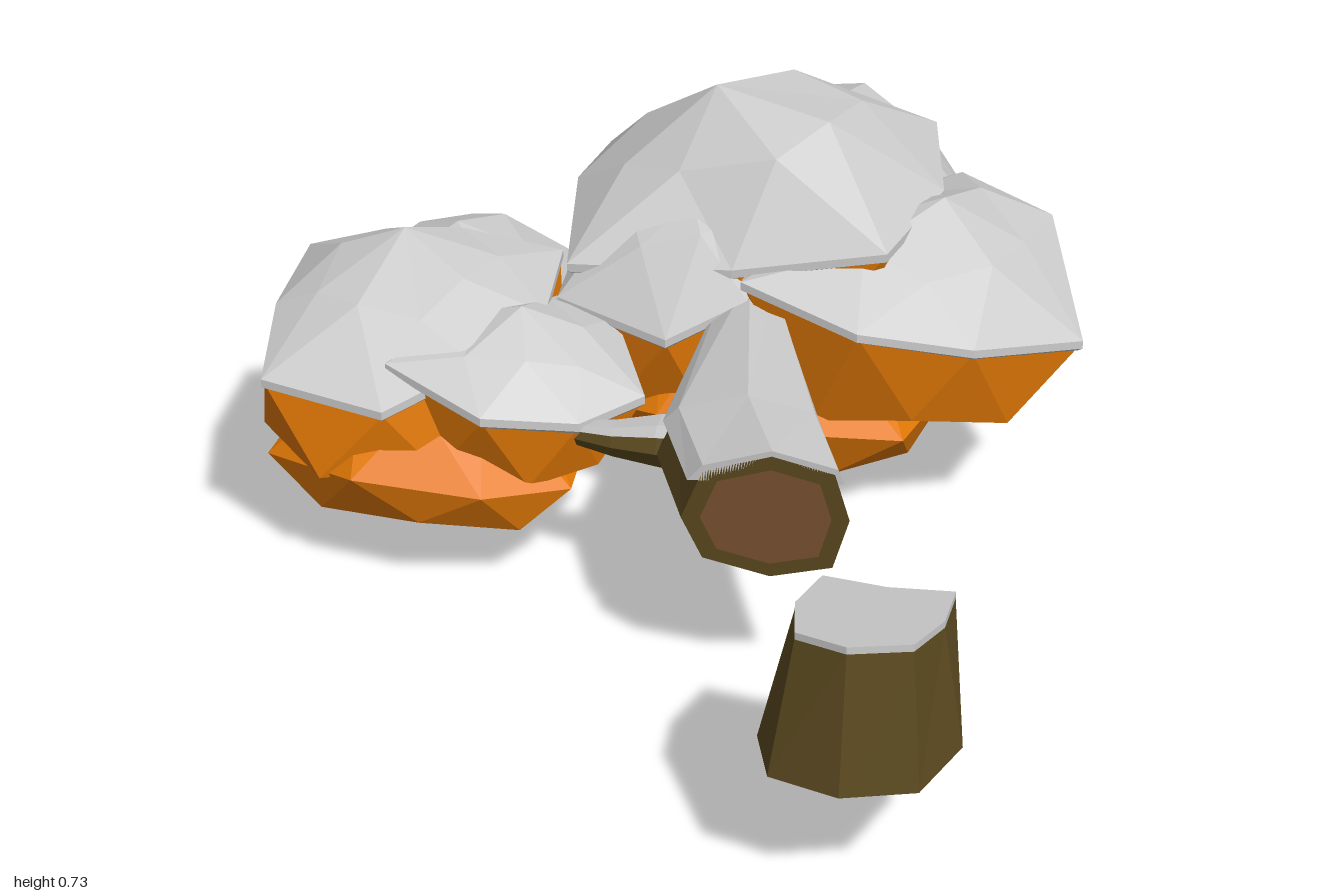
import * as THREE from 'three';

const mat = (color) => new THREE.MeshStandardMaterial({ color, flatShading: true, side: THREE.DoubleSide });
const snow = mat(0xcccccc), leaf = mat(0xe47a06), bark = mat(0x5c4a20), wood = mat(0x7a5230);

// Skin a list of loops; a loop of one point closes an end as a fan.
function loft(name, rings, material) {
  const pos = [];
  for (let k = 0; k + 1 < rings.length; k++) {
    const a = rings[k], b = rings[k + 1];
    const n = Math.max(a.length, b.length);
    for (let i = 0; i < n; i++) {
      const a0 = a[i % a.length], a1 = a[(i + 1) % a.length];
      const b0 = b[i % b.length], b1 = b[(i + 1) % b.length];
      if (a.length > 1) pos.push(...a0, ...b0, ...a1);
      if (b.length > 1) pos.push(...b0, ...b1, ...a1);
    }
  }
  const g = new THREE.BufferGeometry();
  g.setAttribute('position', new THREE.Float32BufferAttribute(pos, 3));
  g.computeVertexNormals();
  const mesh = new THREE.Mesh(g, material);
  mesh.name = name;
  return mesh;
}

const centre = (ring) => [0, 1, 2].map((c) => ring.reduce((s, p) => s + p[c], 0) / ring.length);

// Point between p and q, drawn towards an end point: r scales x and z, h is the rise to the end
const facetPoint = (p, q, end, r, h) =>
  [r, 1 - h, r].map((w, k) => end[k] + ((p[k] + q[k]) / 2 - end[k]) * w);

// Faceted clump: rim points [x, z, y], an apex and a low point; snow lies above the rim.
// taper: width of the underside, drop: its depth, bulge: height of the snow's shoulder,
// lean: extra bulge towards +x
function clump(name, rimXZY, top, bottom, { taper = 0.86, drop = 0.67, bulge = 0.62, lean = 0, capped = true } = {}) {
  const group = new THREE.Group();
  group.name = name;
  const c = centre(rimXZY);
  const rim = rimXZY
    .map(([x, z, y]) => [x, y, z])
    .sort((p, q) => Math.atan2(p[2] - c[1], p[0] - c[0]) - Math.atan2(q[2] - c[1], q[0] - c[0]));
  const n = rim.length, mid = centre(rim);
  const scaled = (s, dy) => rim.map((p) => [mid[0] + (p[0] - mid[0]) * s, p[1] + dy, mid[2] + (p[2] - mid[2]) * s]);
  // The lower and shoulder loops sit half a step off the rim, which makes triangular facets
  const lower = rim.map((p, i) => facetPoint(p, rim[(i + n - 1) % n], bottom, taper, drop + (i % 2 ? -0.05 : 0.05)));
  const shoulder = rim.map((p, i) => {
    const q = rim[(i + 1) % n];
    const h = bulge + (i % 2 ? 0.08 : -0.06) + lean * Math.sign((p[0] + q[0]) / 2 - mid[0]);
    return facetPoint(p, q, top, i % 2 ? 0.56 : 0.64, h);
  });
  if (capped) {
    group.add(loft('foliage', [[bottom], lower, scaled(0.98, -0.01), [mid]], leaf));
    group.add(loft('snowCap', [scaled(0.97, -0.02), scaled(1, -0.015), rim, shoulder, [top]], snow));
  } else {
    group.add(loft('foliage', [[bottom], lower, rim, shoulder, [top]], leaf));
  }
  return group;
}

function largeCrown() {
  const g = new THREE.Group();
  g.name = 'largeCrown';
  g.add(
    clump('backClump', [[0, -0.99, 0.37], [0.15, -1, 0.36], [0.32, -0.96, 0.36], [0.51, -0.67, 0.27],
      [0.46, -0.56, 0.3], [0.15, -0.4, 0.35], [-0.21, -0.63, 0.32]], [0.16, 0.59, -0.58], [0.16, 0.07, -0.68],
      { taper: 0.96, bulge: 0.7 }),
    clump('topClump', [[-0.24, -0.59, 0.47], [0.05, -0.6, 0.53], [0.37, -0.59, 0.57], [0.42, -0.35, 0.55],
      [0.36, -0.1, 0.54], [0.1, -0.06, 0.5], [-0.19, -0.06, 0.48], [-0.23, -0.3, 0.53]],
      [0.02, 0.73, -0.31], [0.08, 0.18, -0.32], { lean: 0.14 }),
    clump('sideClump', [[0.69, -0.22, 0.35], [0.6, -0.48, 0.46], [0.42, -0.6, 0.47], [0.12, -0.35, 0.45],
      [0.12, -0.04, 0.49], [0.33, 0.01, 0.44], [0.52, -0.07, 0.39]], [0.43, 0.57, -0.28], [0.38, 0.14, -0.26],
      { bulge: 0.5 }),
    clump('frontClump', [[-0.2, -0.03, 0.43], [0, 0.01, 0.39], [0.13, -0.05, 0.45], [0.15, -0.25, 0.5],
      [0, -0.4, 0.5], [-0.21, -0.35, 0.47]], [0.01, 0.58, -0.16], [0, 0.15, -0.2], { bulge: 0.74 }),
    clump('lowClump', [[-0.2, -0.1, 0.2], [-0.02, -0.01, 0.23], [0.2, 0.01, 0.23], [0.4, -0.1, 0.18],
      [0.46, -0.35, 0.18], [0.34, -0.57, 0.17], [0.05, -0.6, 0.18], [-0.2, -0.4, 0.19]],
      [0.1, 0.5, -0.3], [0.15, 0, -0.31], { taper: 0.86, drop: 0.52, capped: false }),
  );
  return g;
}

function smallCrown() {
  const g = new THREE.Group();
  g.name = 'smallCrown';
  g.add(
    clump('backClump', [[-0.66, -0.18, 0.33], [-0.51, -0.43, 0.33], [-0.4, -0.44, 0.33], [-0.27, -0.4, 0.33],
      [-0.22, -0.15, 0.3], [-0.45, -0.05, 0.35]], [-0.42, 0.48, -0.18], [-0.42, 0.12, -0.23], { taper: 0.97 }),
    clump('topClump', [[-0.68, -0.13, 0.43], [-0.45, -0.19, 0.45], [-0.22, -0.15, 0.46], [-0.2, 0.05, 0.44],
      [-0.28, 0.2, 0.41], [-0.42, 0.29, 0.35], [-0.64, 0.26, 0.37], [-0.665, 0.1, 0.43]],
      [-0.46, 0.55, 0], [-0.45, 0.15, 0.05], { taper: 1.07, bulge: 0.52 }),
    clump('sideClump', [[-0.43, 0.23, 0.41], [-0.25, 0.29, 0.36], [-0.1, 0.22, 0.33], [-0.01, 0.12, 0.34],
      [-0.1, -0.05, 0.39], [-0.3, -0.1, 0.42]], [-0.23, 0.47, 0.09], [-0.25, 0.15, 0.1], { bulge: 0.5 }),
    clump('lowClump', [[-0.66, 0.2, 0.19], [-0.47, 0.32, 0.23], [-0.25, 0.3, 0.21], [-0.12, 0.2, 0.19],
      [-0.14, -0.05, 0.19], [-0.45, -0.12, 0.18], [-0.66, 0, 0.18]], [-0.4, 0.42, 0.05], [-0.4, 0.05, 0.06],
      { taper: 0.92, drop: 0.5, capped: false }),
  );
  return g;
}

// Fallen log with a rimmed cut end and a thin snow cover
function trunk() {
  const g = new THREE.Group();
  g.name = 'fallenTrunk';
  const section = [[0.135, 0.01], [0.11, -0.08], [0.01, -0.11], [-0.1, -0.09],
    [-0.135, -0.02], [-0.1, 0.07], [0.01, 0.11], [0.11, 0.09]];
  const cover = [[0.125, 0.075], [-0.125, 0.05], [-0.1, 0.08], [0.01, 0.12], [0.115, 0.1]];
  // x centre, z, width and height scale
  const stations = [[0.11, -0.15, 0.42, 0.8], [0.19, 0.29, 1.04, 0.93], [0.265, 0.47, 1, 1]];
  const along = (shape) => stations.map(([x, z, w, h]) => shape.map(([u, v]) => [x + u * w, 0.35 + v * h, z]));
  const rings = along(section), coverRings = along(cover);
  const hub = centre(rings[2]);
  const inner = rings[2].map(([x, y, z]) => [hub[0] + (x - hub[0]) * 0.78, hub[1] + (y - hub[1]) * 0.78, z]);
  g.add(loft('bark', [...rings, inner], bark));
  g.add(loft('cutEnd', [inner, [hub]], wood));
  g.add(loft('snowCover', [...coverRings, [centre(coverRings[2])]], snow));
  return g;
}

// Tapering side branch reaching towards -x
function branch() {
  const g = new THREE.Group();
  g.name = 'branch';
  const path = [[0.12, 0.32, 0.23, 0.048], [0.04, 0.315, 0.225, 0.04], [-0.04, 0.305, 0.215, 0.028], [-0.13, 0.295, 0.19, 0.016]];
  const tube = (dy, flat) => path.map(([x, y, z, r]) => Array.from({ length: 6 }, (_, i) => {
    const a = (i / 6) * Math.PI * 2;
    return [x, y + dy * r - Math.sin(a) * r * flat, z + Math.cos(a) * r];
  }));
  const wrap = (rings) => [...rings, [centre(rings[3])]];
  g.add(loft('branchBark', wrap(tube(0, 1)), bark));
  g.add(loft('branchSnow', wrap(tube(0.8, 0.35)), snow));
  return g;
}

// Standing stump, flared at the foot, with snow on its tilted top
function stump() {
  const g = new THREE.Group();
  g.name = 'stump';
  const foot = [[0.39, 0.69], [0.5, 0.72], [0.61, 0.7], [0.635, 0.83], [0.59, 0.96], [0.48, 1], [0.37, 0.97], [0.335, 0.87]]
    .map(([x, z]) => [x, 0.215 + (z - 0.69) * 0.03, z]);
  const head = [[0.4, 0.715], [0.5, 0.73], [0.6, 0.715], [0.6, 0.83], [0.57, 0.93], [0.48, 0.97], [0.4, 0.94], [0.38, 0.83]]
    .map(([x, z]) => [x, 0.4 + (z - 0.71) * 0.2, z]);
  const lifted = head.map(([x, y, z]) => [x, y + 0.012, z]);
  g.add(loft('stumpBark', [[[0.49, 0.22, 0.84]], foot, head], bark));
  g.add(loft('stumpSnow', [head, lifted, [centre(lifted)]], snow));
  return g;
}

export function createModel() {
  const model = new THREE.Group();
  model.name = 'fallenSnowyTree';
  model.add(largeCrown(), smallCrown(), trunk(), branch(), stump());
  return model;
}
